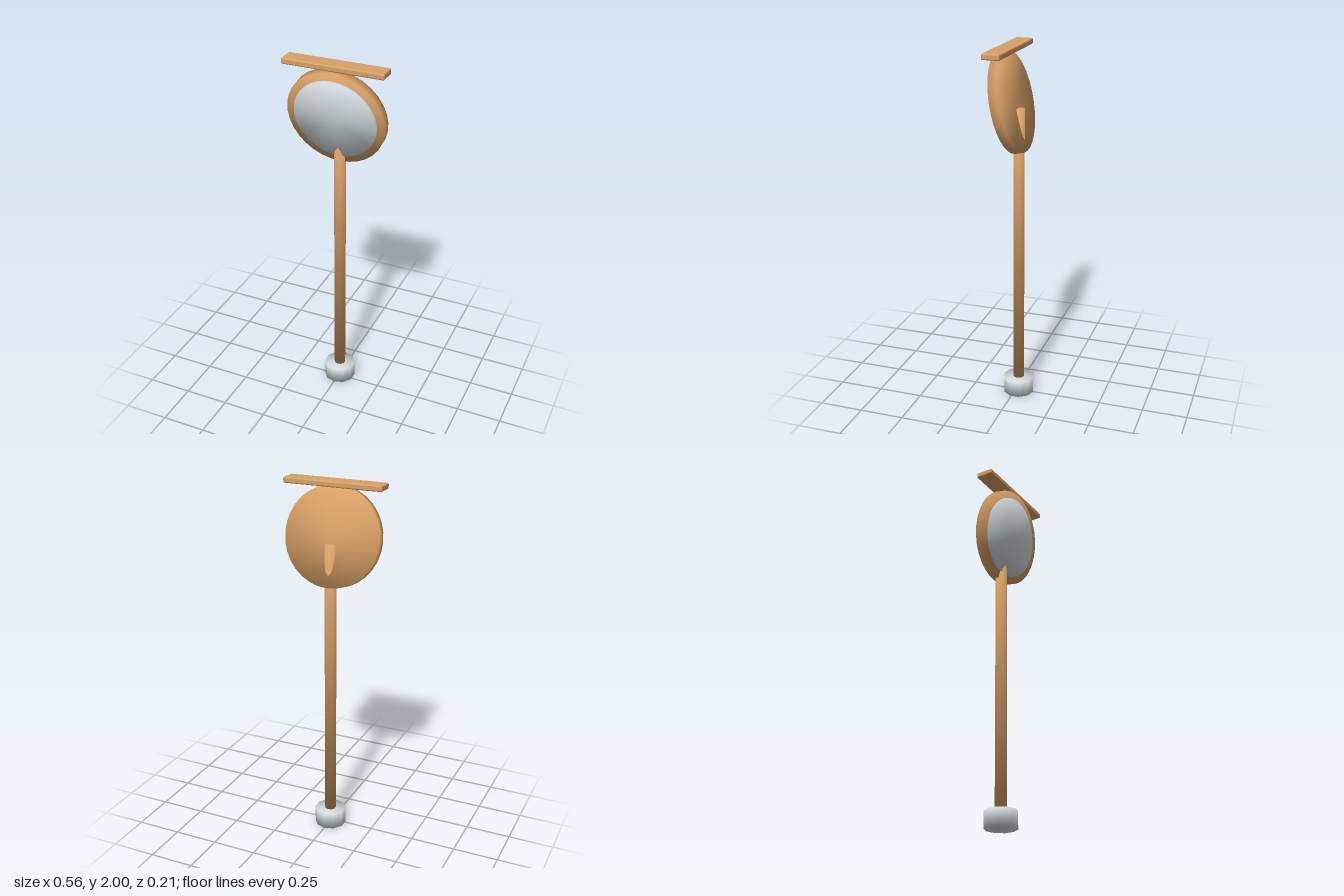
import * as THREE from 'three';
import { RoundedBoxGeometry } from 'three/addons/geometries/RoundedBoxGeometry.js';

// Cylinder whose normals are blended over the rims, for a soft look
function softCylinder(radius, height, sides) {
  const g = new THREE.CylinderGeometry(radius, radius, height, sides);
  const p = g.attributes.position, n = g.attributes.normal;
  const v = new THREE.Vector3();
  for (let i = 0; i < p.count; i++) {
    v.set(p.getX(i) / radius, Math.sign(p.getY(i)), p.getZ(i) / radius).normalize();
    n.setXYZ(i, v.x, v.y, v.z);
  }
  return g;
}

export function createModel() {
  const wood = new THREE.MeshStandardMaterial({ name: 'wood', color: 0xd9a066 });
  const grey = new THREE.MeshStandardMaterial({ name: 'pale grey', color: 0xd3dbde });

  const model = new THREE.Group();
  model.name = 'postMirror';
  const add = (parent, name, geometry, material, x, y, z) => {
    const mesh = new THREE.Mesh(geometry, material);
    mesh.name = name;
    mesh.position.set(x, y, z);
    parent.add(mesh);
    return mesh;
  };

  // Foot and post
  const postZ = -0.018;
  add(model, 'foot', softCylinder(0.088, 0.094, 10), grey, 0, 0.047, postZ);
  add(model, 'post', softCylinder(0.032, 1.605, 10), wood, 0, 0.8725, postZ);

  // Round head leaning forward: local +y is the mirror's facing direction
  const head = new THREE.Group();
  head.name = 'mirrorHead';
  head.position.set(0, 1.705, 0.019);
  head.rotation.x = Math.PI / 2 + 0.22;
  add(head, 'mirrorFrame', softCylinder(0.27, 0.048, 32), wood, 0, 0, 0);
  add(head, 'mirrorGlass', softCylinder(0.228, 0.02, 32), grey, 0, 0.024, 0);
  model.add(head);

  // Small roof board over the head
  add(model, 'roofBoard', new RoundedBoxGeometry(0.555, 0.032, 0.098, 2, 0.008), wood, 0, 1.984, 0.041);

  return model;
}
